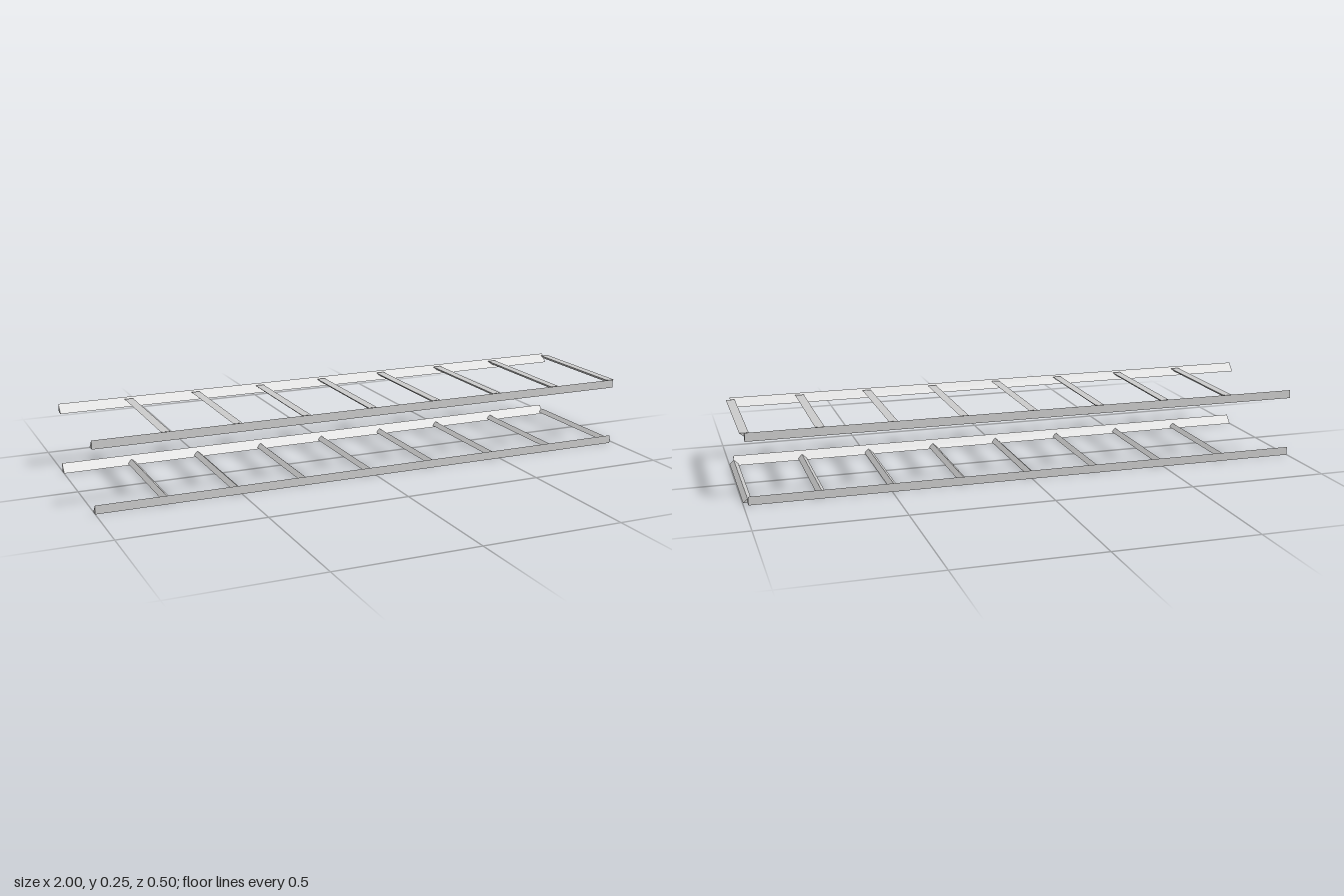
import * as THREE from 'three';

const material = new THREE.MeshStandardMaterial({ color: 0xcccccc, flatShading: true, side: THREE.DoubleSide });

// Triangular bar extruded along +z and centred on its length
function bar(name, points, length) {
  const shape = new THREE.Shape(points.map(([x, y]) => new THREE.Vector2(x, y)));
  const geometry = new THREE.ExtrudeGeometry(shape, { depth: length, bevelEnabled: false });
  geometry.translate(0, 0, -length / 2);
  const mesh = new THREE.Mesh(geometry, material);
  mesh.name = name;
  return mesh;
}

const START = -1, SPACING = 0.248, BAYS = 8;
const RAIL_LENGTH = SPACING * BAYS;

// One ladder: two wedge rails and a row of triangular rungs
function ladder(name, baseY, rungFlatY, rungApexY) {
  const group = new THREE.Group();
  group.name = name;

  // Rails have an upright outer face and a slope towards the inside
  for (const side of [1, -1]) {
    const rail = bar(side > 0 ? 'frontRail' : 'backRail',
      [[-0.248, 0], [-0.22, 0], [-0.248, 0.03]], RAIL_LENGTH);
    rail.rotation.y = side * Math.PI / 2;
    rail.position.set(START + RAIL_LENGTH / 2, baseY, 0);
    group.add(rail);
  }

  // Rungs start one bay in and finish flush with the rail ends
  for (let i = 1; i <= BAYS; i++) {
    const rung = bar('rung' + i,
      [[-0.0155, rungFlatY], [0.0155, rungFlatY], [0, rungApexY]], 0.464);
    rung.position.x = START + SPACING * i;
    group.add(rung);
  }
  return group;
}

export function createModel() {
  const model = new THREE.Group();
  model.name = 'doubleLadderFrame';
  model.add(ladder('lowerLadder', 0, 0.005, 0.018));
  // Upper rungs mirror the lower ones, flat side up
  model.add(ladder('upperLadder', 0.218, 0.244, 0.231));
  return model;
}
